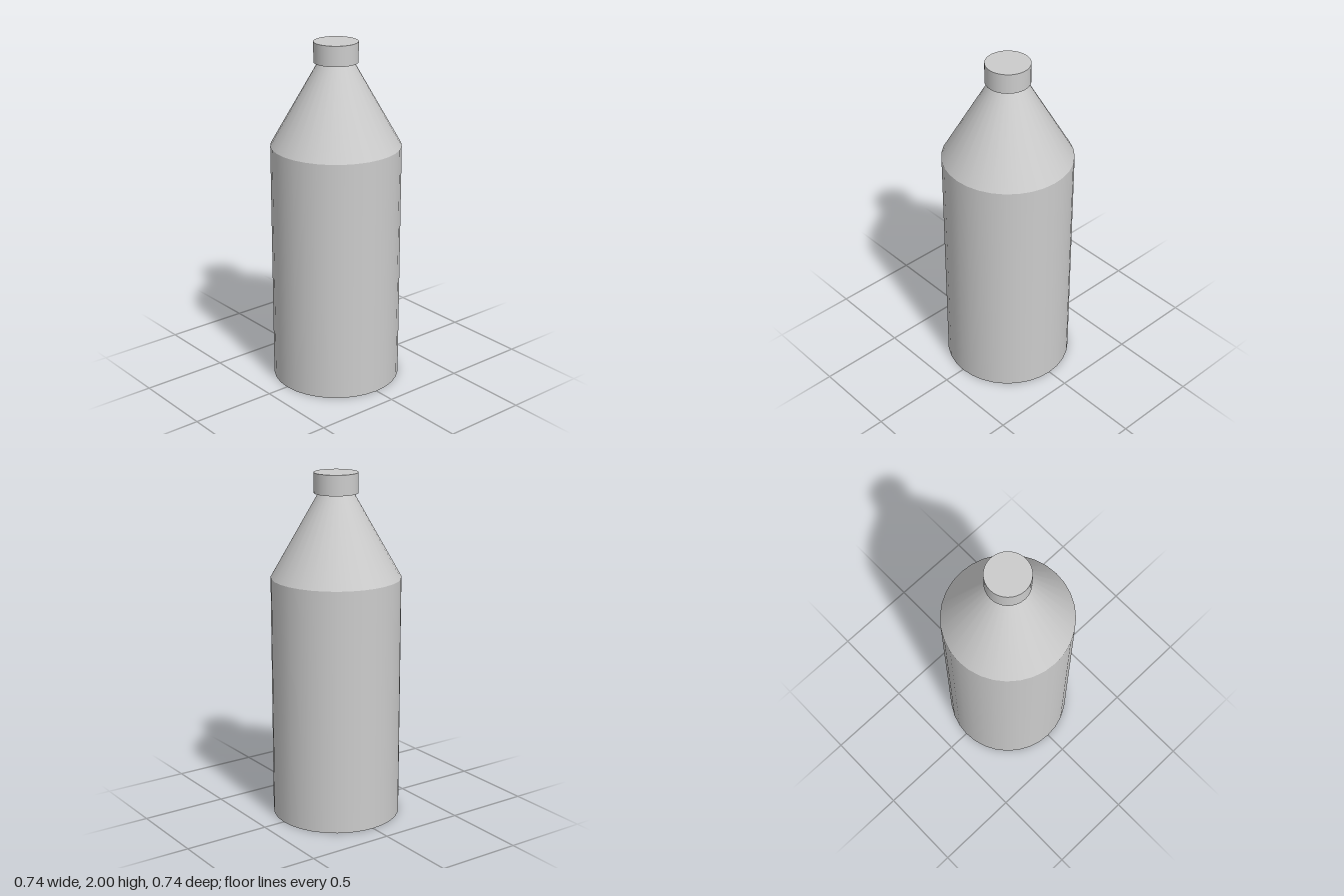
import * as THREE from 'three';

const SIDES = 32;

export function createModel() {
  const group = new THREE.Group();
  const material = new THREE.MeshStandardMaterial({ color: 0xcccccc });

  // Round section from y0 to y1, tapering from r0 to r1
  const addSection = (name, r0, r1, y0, y1, open = false) => {
    const geometry = new THREE.CylinderGeometry(r1, r0, y1 - y0, SIDES, 1, open);
    const mesh = new THREE.Mesh(geometry, material);
    mesh.name = name;
    mesh.position.y = (y0 + y1) / 2;
    group.add(mesh);
  };

  // Straight-sided body with a flat base
  addSection('body', 0.37, 0.37, 0, 1.41);
  // Conical shoulder narrowing to the neck
  addSection('shoulder', 0.37, 0.1, 1.41, 1.885, true);
  // Cap overhanging the neck
  addSection('cap', 0.125, 0.125, 1.885, 2);

  return group;
}
